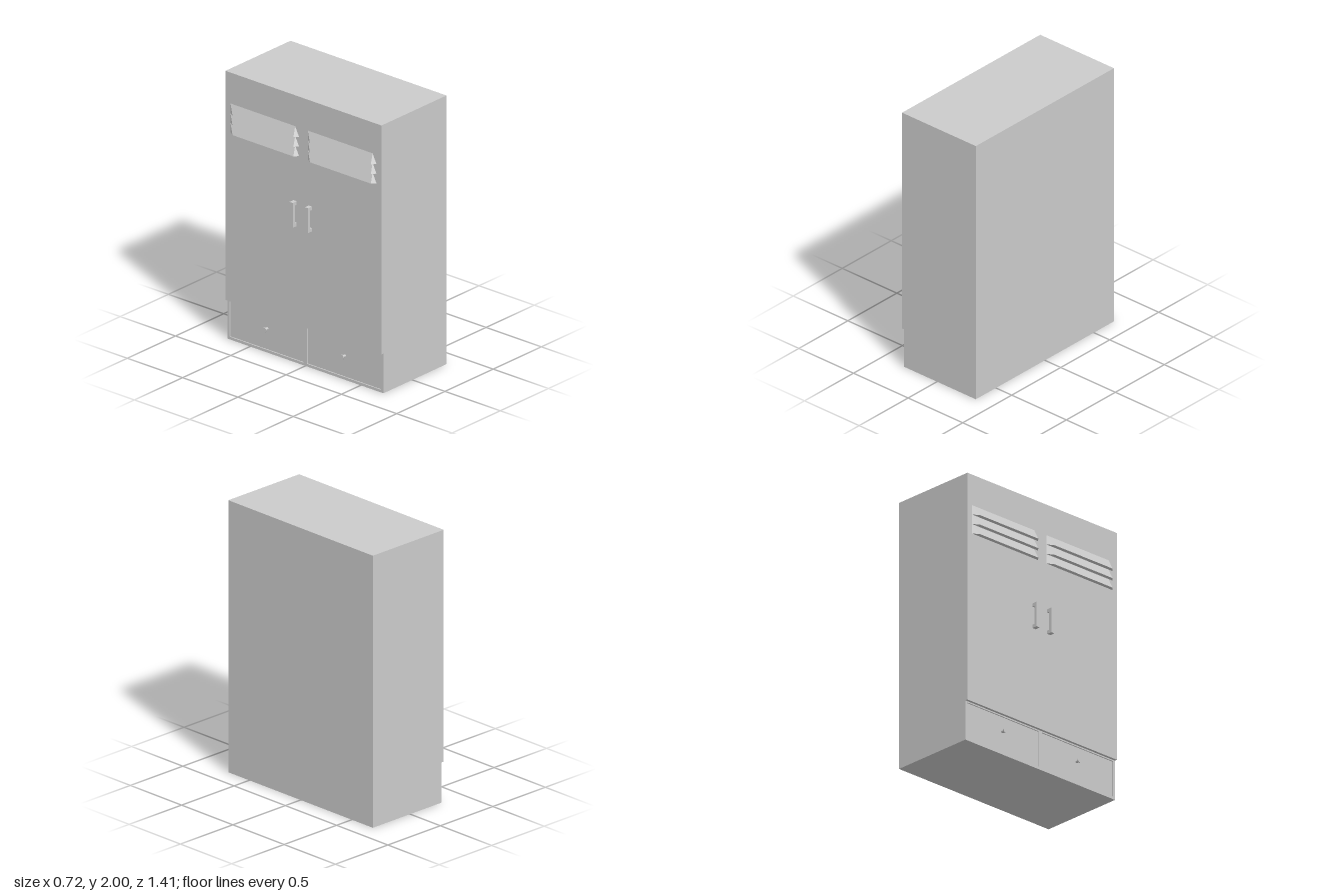
import * as THREE from 'three';

const material = new THREE.MeshStandardMaterial({ color: 0xcccccc });

// Cabinet extents; the doors face -x
const FRONT = -0.30, BACK = 0.355, HALF = 0.705, TOP = 2, WALL = 0.02;
const DOOR = -0.32, DOOR_BOTTOM = 0.295;

function add(parent, name, geometry) {
  const mesh = new THREE.Mesh(geometry, material);
  mesh.name = name;
  parent.add(mesh);
  return mesh;
}

// Box given by its limits on each axis
function addBox(parent, name, [x0, x1], [y0, y1], [z0, z1]) {
  const mesh = add(parent, name, new THREE.BoxGeometry(x1 - x0, y1 - y0, z1 - z0));
  mesh.position.set((x0 + x1) / 2, (y0 + y1) / 2, (z0 + z1) / 2);
  return mesh;
}

// Wedge-shaped vent slat with slanted ends
function slatGeometry(backTop, backBottom, front, y, height) {
  const [a0, a1] = backTop.map((z) => [DOOR, y + height, z]);
  const [b0, b1] = backBottom.map((z) => [DOOR, y, z]);
  const [f0, f1] = front.map((z) => [-0.35, y, z]);
  const corners = [
    f0, f1, a1, f0, a1, a0, // slope
    b0, f0, a0, f1, b1, a1, // ends
    f0, b0, b1, f0, b1, f1, // underside
  ];
  const geometry = new THREE.BufferGeometry();
  geometry.setAttribute('position', new THREE.Float32BufferAttribute(corners.flat(), 3));
  geometry.computeVertexNormals();
  return geometry;
}

// Square-cornered pull: outline in x,y extruded along z
function handleGeometry() {
  const shape = new THREE.Shape([
    [DOOR, 1.03], [DOOR, 1.055], [-0.338, 1.055], [-0.338, 1.19],
    [DOOR, 1.19], [DOOR, 1.215], [-0.36, 1.215], [-0.36, 1.03],
  ].map(([x, y]) => new THREE.Vector2(x, y)));
  return new THREE.ExtrudeGeometry(shape, { depth: 0.03, bevelEnabled: false }).translate(0, 0, -0.015);
}

// Small turned knob pointing to -x
function knobGeometry() {
  const profile = [[0.01, 0], [0.01, 0.022], [0.019, 0.029], [0.019, 0.035], [0, 0.035]]
    .map(([r, h]) => new THREE.Vector2(r, h));
  const geometry = new THREE.LatheGeometry(profile, 16).toNonIndexed();
  geometry.computeVertexNormals();
  return geometry.rotateZ(Math.PI / 2);
}

export function createModel() {
  const model = new THREE.Group();
  model.name = 'wardrobe';

  // Carcass panels
  const carcass = new THREE.Group();
  carcass.name = 'carcass';
  model.add(carcass);
  const inside = [-HALF + WALL, HALF - WALL];
  addBox(carcass, 'sidePanel', [FRONT, BACK], [0, TOP], [-HALF, -HALF + WALL]);
  addBox(carcass, 'sidePanel', [FRONT, BACK], [0, TOP], [HALF - WALL, HALF]);
  addBox(carcass, 'topPanel', [FRONT, BACK], [TOP - WALL, TOP], inside);
  addBox(carcass, 'bottomPanel', [FRONT, BACK], [0, WALL], inside);
  addBox(carcass, 'backPanel', [BACK - WALL, BACK], [WALL, TOP - WALL], inside);
  addBox(carcass, 'shelf', [FRONT, BACK - WALL], [DOOR_BOTTOM - 0.01, DOOR_BOTTOM + 0.01], inside);
  addBox(carcass, 'drawerDivider', [FRONT, BACK - WALL], [WALL, DOOR_BOTTOM - 0.01], [-0.015, 0.015]);

  for (const side of [-1, 1]) {
    // Door
    const door = new THREE.Group();
    door.name = 'door';
    model.add(door);
    addBox(door, 'doorPanel', [DOOR, FRONT], [DOOR_BOTTOM, TOP], side < 0 ? [-HALF, 0] : [0, HALF]);

    // Vent slats, slanted the same way on both doors
    const z = side * 0.35;
    for (let i = 0; i < 3; i++) {
      add(door, 'ventSlat', slatGeometry(
        [z - 0.31, z + 0.275], [z - 0.31, z + 0.31], [z - 0.265, z + 0.285],
        1.557 + i * 0.0715, 0.07));
    }

    // Handle beside the middle seam
    add(door, 'handle', handleGeometry()).position.z = side < 0 ? -0.076 : 0.062;

    // Drawer, slightly recessed, with its knob
    const drawer = new THREE.Group();
    drawer.name = 'drawer';
    model.add(drawer);
    const edges = side < 0 ? [-HALF + WALL, -0.015] : [0.015, HALF - WALL];
    addBox(drawer, 'drawerFront', [FRONT + 0.008, FRONT + 0.03], [WALL, DOOR_BOTTOM - 0.01], edges);
    add(drawer, 'knob', knobGeometry()).position.set(FRONT + 0.008, 0.175, z);
  }
  return model;
}
